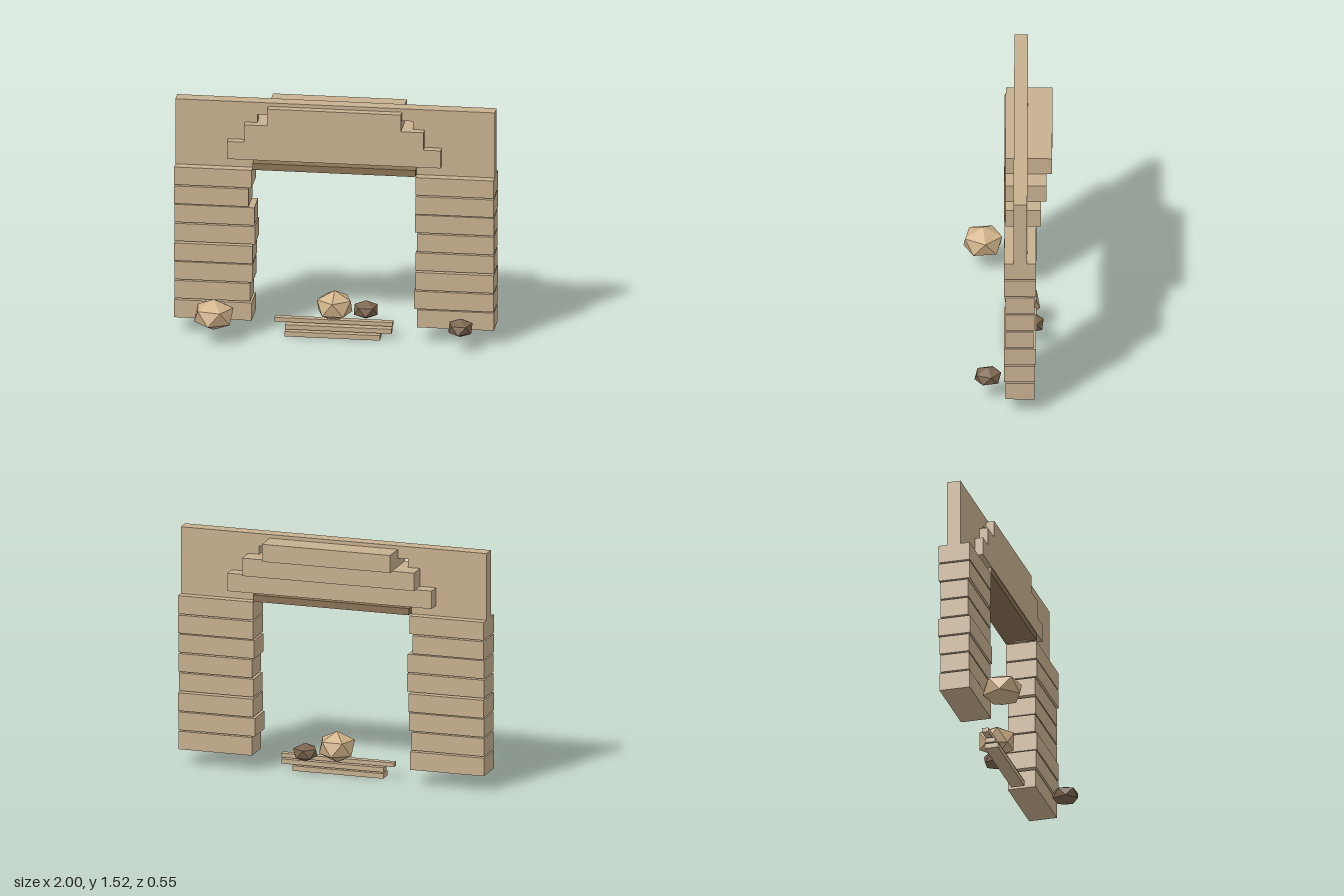
import * as THREE from 'three';

const mat = (color) => new THREE.MeshStandardMaterial({ color, flatShading: true });

export function createModel() {
  const root = new THREE.Group();
  const stone = mat(0xc8b090);
  const darkWood = mat(0x8b7355);
  const lightRock = mat(0xd2b48c);
  const darkRock = mat(0x7d6650);

  // Box given by its extents on each axis
  const block = (name, [x0, x1], [y0, y1], [z0, z1], material = stone, parent = root) => {
    const mesh = new THREE.Mesh(new THREE.BoxGeometry(x1 - x0, y1 - y0, z1 - z0), material);
    mesh.position.set((x0 + x1) / 2, (y0 + y1) / 2, (z0 + z1) / 2);
    mesh.name = name;
    parent.add(mesh);
  };

  // Faceted rock: squashed icosahedron standing on a corner
  const rock = (name, position, radii, turn, material) => {
    const geo = new THREE.IcosahedronGeometry(1, 0);
    geo.rotateZ(Math.atan(2 / (1 + Math.sqrt(5))));
    geo.rotateY(turn);
    geo.scale(...radii);
    const mesh = new THREE.Mesh(geo, material);
    mesh.position.set(...position);
    mesh.name = name;
    root.add(mesh);
  };

  // Pillars: eight uneven courses each, [inner edge, front z, back z]
  const courses = {
    rightPillar: [
      [0.515, 0.02, -0.175], [0.525, 0.015, -0.17], [0.51, 0.015, -0.175], [0.51, 0.023, -0.185],
      [0.495, 0.01, -0.17], [0.5, 0.01, -0.17], [0.535, 0.02, -0.18], [0.515, 0.02, -0.18],
    ],
    leftPillar: [
      [0.52, 0.01, -0.17], [0.5, 0.018, -0.173], [0.51, 0.02, -0.18], [0.51, 0.01, -0.165],
      [0.52, 0.01, -0.17], [0.505, 0.01, -0.17], [0.51, 0.02, -0.18], [0.51, 0.018, -0.18],
    ],
  };
  for (const [name, rows] of Object.entries(courses)) {
    const pillar = new THREE.Group();
    pillar.name = name;
    root.add(pillar);
    rows.forEach(([inner, front, back], i) => {
      const y = 0.1 + i * 0.125;
      const xs = name === 'leftPillar' ? [inner, 1] : [-1, -inner];
      block('pillarCourse', xs, [y, y + 0.116], [back, front], stone, pillar);
    });
  }

  // Upper wall around the opening
  const wallZ = [-0.125, -0.04];
  block('wallLeft', [0.487, 1], [1.09, 1.44], wallZ);
  block('wallRight', [-1, -0.487], [1.09, 1.44], wallZ);
  block('wallTop', [-1, 1], [1.44, 1.52], wallZ);

  // Lintel and stepped blocks above it, each reaching further back
  block('lintel', [-0.51, 0.51], [1.095, 1.138], [-0.18, 0.02], darkWood);
  block('corbelLower', [-0.67, 0.667], [1.157, 1.272], [-0.21, 0.012]);
  block('corbelMiddle', [-0.565, 0.56], [1.272, 1.387], [-0.243, 0.012]);
  block('corbelUpper', [-0.42, 0.418], [1.385, 1.497], [-0.278, 0.012]);

  // Threshold steps
  block('stepLower', [-0.31, 0.285], [0, 0.032], [-0.08, 0.005]);
  block('stepMiddle', [-0.31, 0.355], [0.04, 0.07], [-0.08, -0.015]);
  block('stepUpper', [-0.38, 0.36], [0.08, 0.107], [-0.08, -0.037]);

  // Rocks
  rock('largeRockRight', [-0.735, 0.178, 0.155], [0.137, 0.1, 0.137], -0.5, lightRock);
  rock('largeRockCentre', [-0.01, 0.184, -0.09], [0.125, 0.1, 0.125], 0.3, lightRock);
  rock('smallRockCentre', [0.178, 0.146, -0.148], [0.085, 0.06, 0.087], -0.2, darkRock);
  rock('smallRockLeft', [0.805, 0.15, 0.12], [0.085, 0.06, 0.093], -0.37, darkRock);

  return root;
}
